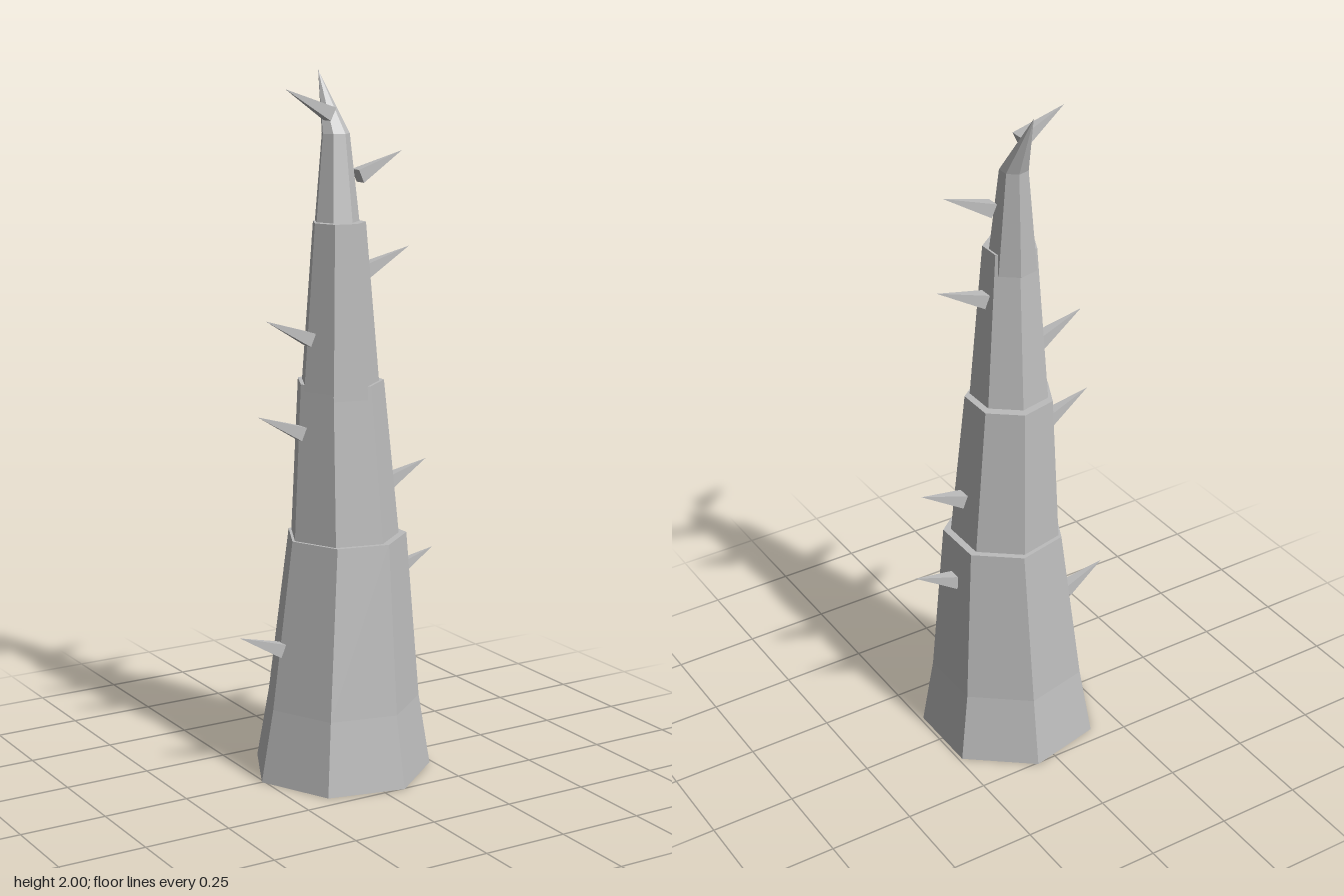
import * as THREE from 'three';

const SIDES = 7;
const grey = new THREE.MeshStandardMaterial({ color: 0xbcbcbc, flatShading: true });
grey.name = 'stone grey';

// Closed seven-sided loft through rings of [x, y, z, radius]
function loft(name, rings) {
  const pos = [];
  const at = ([x, y, z, r], i) => {
    const a = Math.PI + (i / SIDES) * Math.PI * 2;
    return [x + r * Math.cos(a), y, z + r * Math.sin(a)];
  };
  const tri = (a, b, c) => pos.push(...a, ...b, ...c);
  const last = rings[rings.length - 1];
  for (let i = 0; i < SIDES; i++) {
    for (let k = 0; k < rings.length - 1; k++) {
      const a = at(rings[k], i), b = at(rings[k], i + 1);
      const c = at(rings[k + 1], i + 1), d = at(rings[k + 1], i);
      tri(a, d, b);
      if (rings[k + 1][3] > 0) tri(b, d, c);
    }
    // bottom and top caps
    tri(rings[0].slice(0, 3), at(rings[0], i), at(rings[0], i + 1));
    if (last[3] > 0) tri(last.slice(0, 3), at(last, i + 1), at(last, i));
  }
  const geo = new THREE.BufferGeometry();
  geo.setAttribute('position', new THREE.Float32BufferAttribute(pos, 3));
  geo.computeVertexNormals();
  const mesh = new THREE.Mesh(geo, grey);
  mesh.name = name;
  return mesh;
}

// Square-based thorn from its base centre to its tip
function thorn(geo, [bx, by, tx, ty], name) {
  const dx = tx - bx, dy = ty - by;
  const mesh = new THREE.Mesh(geo, grey);
  mesh.scale.y = Math.hypot(dx, dy);
  mesh.position.set((bx + tx) / 2, (by + ty) / 2, 0);
  mesh.rotation.z = Math.atan2(-dx, dy);
  mesh.name = name;
  return mesh;
}

export function createModel() {
  const model = new THREE.Group();
  model.name = 'thornySpike';

  // Stacked shaft sections, each emerging from the one below
  model.add(
    loft('baseSection', [
      [0.004, 0, 0, 0.262], [0.006, 0.21, 0.001, 0.226], [0.024, 0.695, -0.005, 0.175],
    ]),
    loft('lowerSection', [[0.018, 0.62, -0.004, 0.165], [0.011, 1.14, -0.017, 0.126]]),
    loft('upperSection', [[0.004, 1.07, -0.006, 0.118], [-0.004, 1.59, 0.003, 0.076]]),
    // Curved tip leaning to the back
    loft('tipSection', [
      [-0.001, 1.53, -0.012, 0.07], [0.009, 1.83, -0.036, 0.04], [0.005, 2, -0.122, 0],
    ]),
  );

  // Thorns along both flanks: base x, base y, tip x, tip y
  const thornShape = new THREE.ConeGeometry(0.028, 1, 4, 1).rotateY(Math.PI / 4);
  const thorns = [
    [-0.195, 0.385, -0.325, 0.44], [-0.125, 1.005, -0.262, 1.065],
    [-0.095, 1.268, -0.235, 1.33], [-0.03, 1.886, -0.17, 1.957],
    [0.185, 0.563, 0.318, 0.617], [0.16, 0.832, 0.292, 0.885],
    [0.083, 1.448, 0.23, 1.508], [0.06, 1.713, 0.205, 1.778],
  ];
  thorns.forEach((t) => model.add(thorn(thornShape, t, t[0] < 0 ? 'rightThorn' : 'leftThorn')));
  return model;
}
